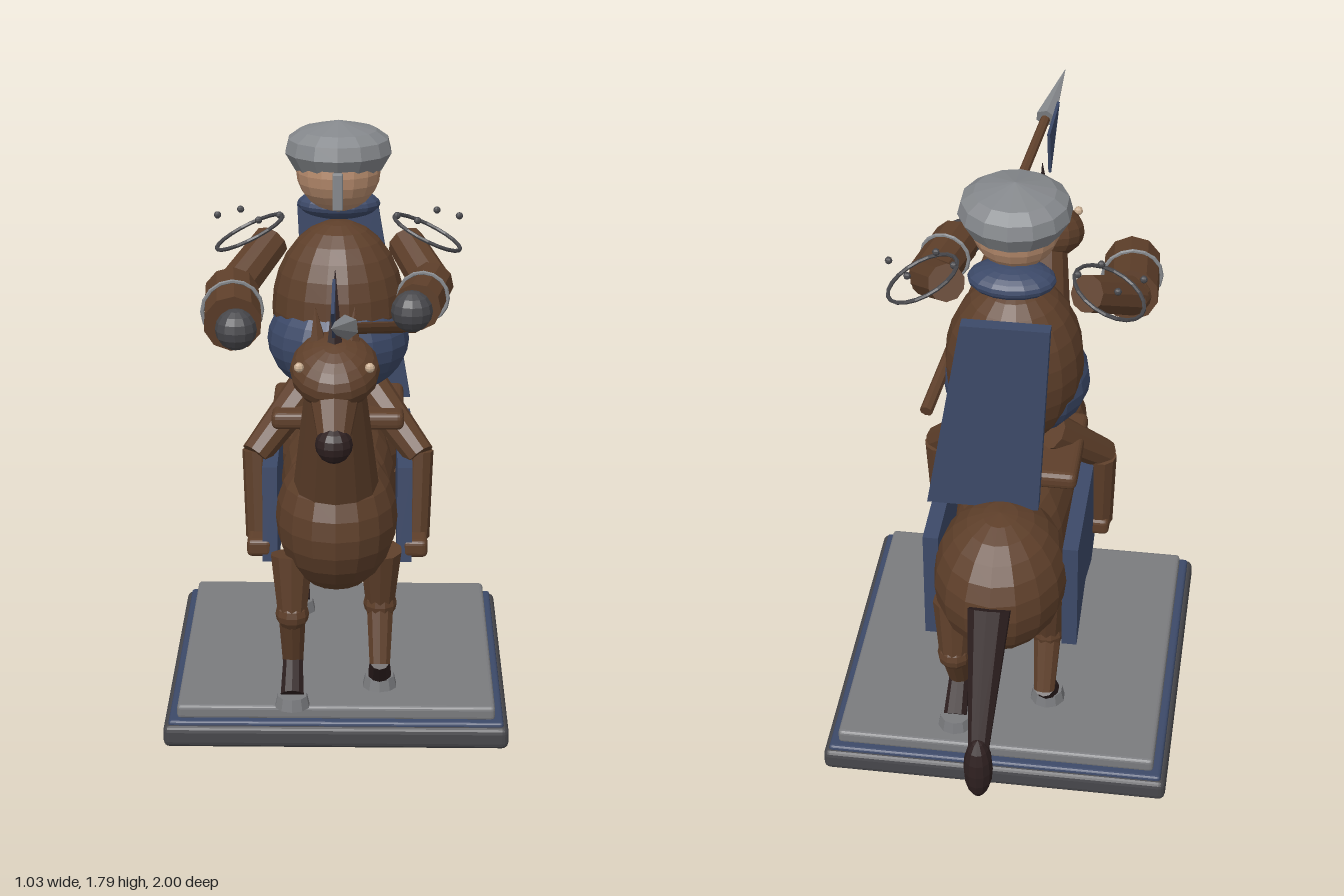
import * as THREE from 'three';
import { RoundedBoxGeometry } from 'three/addons/geometries/RoundedBoxGeometry.js';

const mat = (name, color, double = false) => {
  const m = new THREE.MeshStandardMaterial({ color, flatShading: true });
  m.name = name;
  if (double) m.side = THREE.DoubleSide;
  return m;
};

export function createModel() {
  const root = new THREE.Group();
  root.name = 'mountedLancer';
  const brown = mat('brown leather', 0x5e3f2a);
  const blue = mat('blue cloth', 0x3c4968, true);
  const dark = mat('dark hair', 0x2e2020);
  const grey = mat('stone grey', 0x7a7b7e);
  const steel = mat('steel', 0x85888c);
  const iron = mat('dark iron', 0x47474b);
  const skin = mat('skin', 0xb58a6c);
  const eyeMat = mat('pale eye', 0xc9ad90);

  const V = (p) => new THREE.Vector3(...p);
  const add = (name, geo, m, pos = [0, 0, 0], rot = [0, 0, 0]) => {
    const mesh = new THREE.Mesh(geo, m);
    mesh.name = name;
    mesh.position.set(...pos);
    mesh.rotation.set(...rot);
    root.add(mesh);
    return mesh;
  };
  const ball = (name, m, pos, r, rot, w = 16, h = 12) =>
    add(name, new THREE.SphereGeometry(1, w, h).scale(...r), m, pos, rot);
  const box = (name, m, size, pos, r = 0.015, rot) =>
    add(name, new RoundedBoxGeometry(...size, 2, r), m, pos, rot);
  // tapered limb running from a to b
  const limb = (name, m, a, b, ra, rb, sides = 10) => {
    const d = V(b).sub(V(a));
    const mesh = add(name, new THREE.CylinderGeometry(rb, ra, d.length(), sides), m);
    mesh.position.copy(V(a)).addScaledVector(d, 0.5);
    mesh.quaternion.setFromUnitVectors(new THREE.Vector3(0, 1, 0), d.normalize());
    return mesh;
  };
  const plate = (points, depth) =>
    new THREE.ExtrudeGeometry(new THREE.Shape(points.map((p) => new THREE.Vector2(...p))),
      { depth, bevelEnabled: false });

  // plinth
  box('plinthBase', iron, [1.03, 0.07, 1.04], [0, 0.035, -0.163], 0.02);
  box('plinthTrim', blue, [1.0, 0.03, 1.01], [0, 0.067, -0.163], 0.01);
  box('plinthTop', grey, [0.95, 0.045, 0.96], [0, 0.0985, -0.163], 0.012);

  // horse body
  ball('horseChest', brown, [0, 0.68, 0.18], [0.18, 0.22, 0.225]);
  ball('horseBarrel', brown, [0, 0.67, -0.16], [0.175, 0.205, 0.42]);
  ball('horseRump', brown, [0, 0.67, -0.48], [0.195, 0.22, 0.235]);
  limb('horseNeck', brown, [0, 0.8, 0.25], [0, 1.24, 0.44], 0.125, 0.075, 12);
  ball('horseHead', brown, [0, 1.23, 0.485], [0.125, 0.085, 0.14], [0.35, 0, 0]);
  limb('muzzle', brown, [0, 1.19, 0.53], [0, 1.075, 0.64], 0.075, 0.045);
  ball('nose', dark, [0, 1.067, 0.645], [0.052, 0.052, 0.052], undefined, 12, 8);
  for (const s of [-1, 1]) {
    ball('horseEye', eyeMat, [s * 0.097, 1.26, 0.56], [0.014, 0.014, 0.014], undefined, 8, 6);
    limb('horseEar', brown, [s * 0.045, 1.28, 0.46], [s * 0.055, 1.4, 0.45], 0.03, 0.001, 6);
  }

  // mane spikes down the crest
  for (let i = 0; i < 8; i++) {
    const t = i / 7, y = 1.32 - 0.3 * t, z = 0.48 - 0.22 * t;
    limb('maneSpike', dark, [0, y - 0.02, z + 0.01],
      [0, y + 0.18 - 0.08 * t, z - 0.05 - 0.05 * t], 0.024, 0.001, 6);
  }

  // tail
  limb('tail', dark, [0, 0.725, -0.71], [0, 0.4, -0.94], 0.062, 0.03);
  ball('tailTuft', dark, [0, 0.343, -0.95], [0.042, 0.105, 0.048], undefined, 12, 8);

  // horse legs: side, hip z, knee z, fetlock z, hoof z
  const legs = [
    [-1, 0.24, 0.265, 0.22, 0.31], [1, 0.2, 0.18, 0.245, 0.165],
    [-1, -0.44, -0.415, -0.49, -0.405], [1, -0.52, -0.55, -0.465, -0.555],
  ];
  for (const [s, hip, knee, fet, hoof] of legs) {
    const x = s * 0.13;
    limb('upperLeg', brown, [x, 0.58, hip], [x, 0.41, knee], 0.065, 0.045);
    ball('knee', brown, [x, 0.4, knee], [0.05, 0.05, 0.05], undefined, 10, 8);
    limb('lowerLeg', brown, [x, 0.4, knee], [x, 0.23, fet], 0.042, 0.032);
    limb('pastern', dark, [x, 0.24, fet], [x, 0.155, hoof], 0.03, 0.036);
    limb('hoof', grey, [x, 0.122, hoof], [x, 0.158, hoof], 0.053, 0.045);
  }

  // cloth on both flanks, drawn in (-z, y)
  const flank = [[-0.06, 0.785], [-0.08, 0.49], [0.1, 0.42], [0.27, 0.485],
    [0.495, 0.425], [0.495, 0.785]];
  for (const s of [-1, 1])
    add('flankCloth', plate(flank, 0.045), blue, [s > 0 ? 0.18 : -0.225, 0, 0], [0, Math.PI / 2, 0]);
  box('saddle', brown, [0.4, 0.055, 0.32], [0, 0.9, -0.18], 0.02);

  // rider torso, collar and back board
  ball('torso', brown, [0, 1.22, -0.18], [0.2, 0.265, 0.2], undefined, 18, 14);
  ball('belly', blue, [0, 1.13, -0.14], [0.214, 0.165, 0.198], undefined, 18, 14);
  ball('collar', blue, [0, 1.525, -0.232], [0.125, 0.045, 0.088]);
  add('backBoard', plate([[-0.1, 0.86], [0.222, 0.86], [0.118, 1.483], [-0.13, 1.483]], 0.038),
    blue, [0, 0, -0.422]);

  // rider head and helmet
  ball('face', skin, [0, 1.645, -0.145], [0.125, 0.12, 0.125]);
  const helm = [[0.1, 1.645], [0.13, 1.648], [0.16, 1.7], [0.15, 1.74], [0.115, 1.765], [0, 1.793]];
  add('helmet', new THREE.LatheGeometry(helm.map((p) => new THREE.Vector2(...p)), 14),
    steel, [0, 0, -0.163]);
  box('noseGuard', steel, [0.03, 0.11, 0.02], [0, 1.612, -0.01], 0.004);

  // rider legs
  for (const s of [-1, 1]) {
    limb('thigh', brown, [s * 0.1, 0.96, -0.17], [s * 0.25, 0.79, -0.04], 0.06, 0.045);
    limb('shin', brown, [s * 0.245, 0.8, -0.06], [s * 0.24, 0.53, -0.03], 0.045, 0.04);
    box('boot', brown, [0.075, 0.055, 0.16], [s * 0.235, 0.53, 0.0], 0.015);
  }

  // rider arms: side, shoulder, elbow, wrist, hand
  const arms = [
    [-1, [-0.2, 1.43, -0.14], [-0.31, 1.32, 0.03], [-0.295, 1.29, 0.25], [-0.285, 1.28, 0.27], 0.085],
    [1, [0.2, 1.43, -0.14], [0.275, 1.345, 0.01], [0.23, 1.335, 0.225], [0.215, 1.33, 0.25], 0.07],
  ];
  for (const [s, shoulder, elbow, wrist, hand, r] of arms) {
    limb('upperArm', brown, shoulder, elbow, 0.055, 0.06);
    ball('elbow', brown, elbow, [0.06, 0.06, 0.06], undefined, 10, 8);
    limb('forearm', brown, elbow, wrist, r * 0.95, r);
    ball('hand', iron, hand, [0.06, 0.06, 0.06], undefined, 12, 8);
    const mid = V(elbow).lerp(V(wrist), 0.58);
    add('cuffBand', new THREE.TorusGeometry(r + 0.002, 0.006, 6, 16), steel, mid.toArray(), [0, -s * 0.15, 0]);

    // tilted shoulder ring with studs
    add('shoulderRing', new THREE.TorusGeometry(0.11, 0.006, 6, 20).rotateX(Math.PI / 2),
      iron, [s * 0.265, 1.453, -0.16], [0, 0, -s * 0.45]);
    [[0.36, -0.16], [0.295, -0.23], [0.235, -0.1], [0.175, -0.16]].forEach(([x, z]) =>
      ball('ringStud', iron, [s * x, 1.505, z], [0.011, 0.011, 0.011], undefined, 8, 6));
  }

  // lance with pennon
  limb('lanceShaft', brown, [0.235, 1.11, -0.325], [0.035, 1.445, 0.8], 0.019, 0.015, 8);
  limb('lanceTip', steel, [0.035, 1.445, 0.79], [0, 1.505, 1.0], 0.034, 0.001, 6);
  add('pennon', plate([[-0.82, 1.49], [-0.61, 1.36], [-0.575, 1.515]], 0.009),
    blue, [-0.005, 0, 0.0], [0, Math.PI / 2, 0]);
  return root;
}
